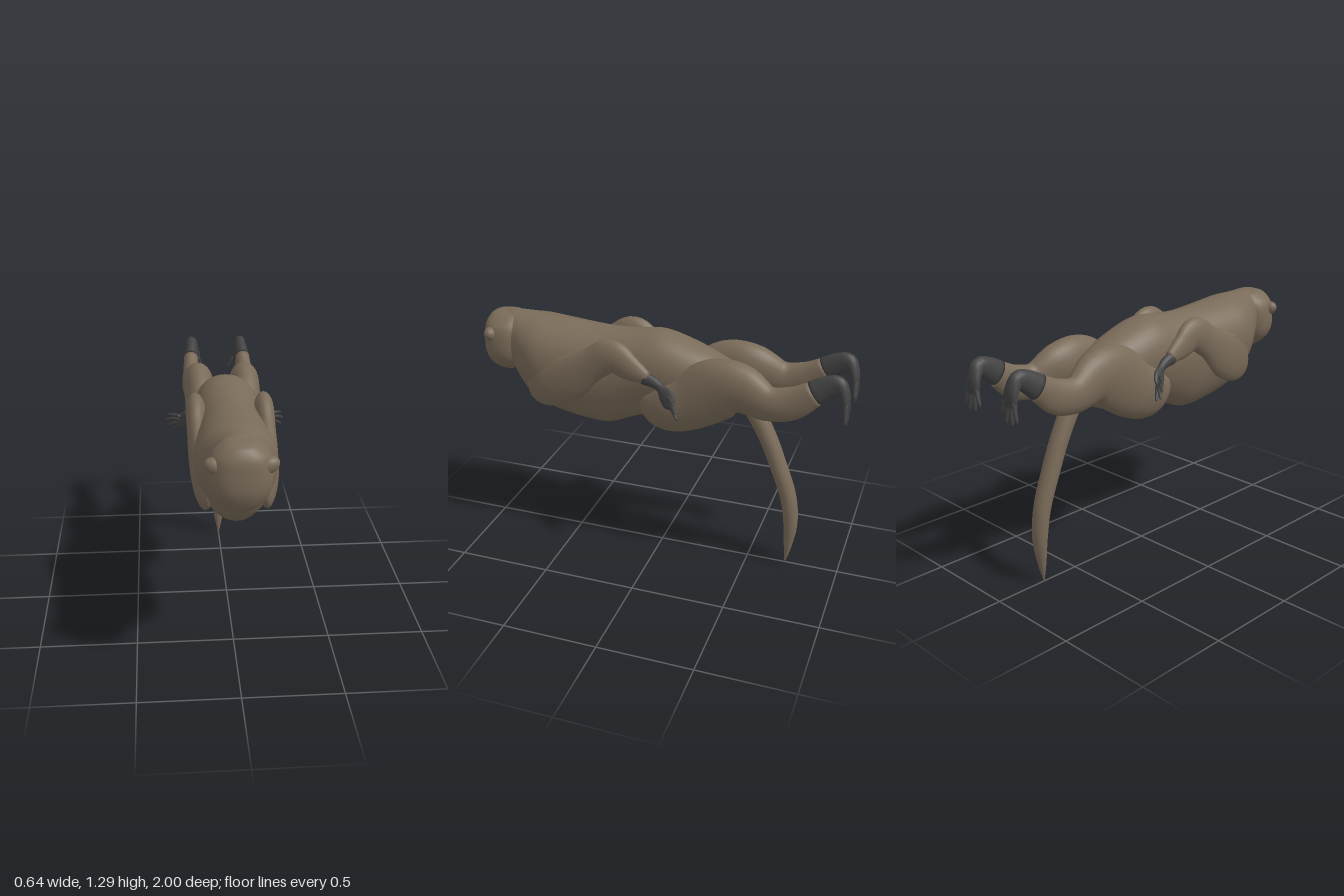
import * as THREE from 'three';

const fur = new THREE.MeshStandardMaterial({ name: 'brown fur', color: 0x7a6b59 });
const skin = new THREE.MeshStandardMaterial({ name: 'dark skin', color: 0x424243 });

// Smooth closed tube through stations [x, y, z, halfWidth, halfDepth]; taper narrows
// one side of each ring, axis keeps all rings parallel, power < 1 squares the rings.
function loft(stations, { rings = 32, sides = 24, taper = 0, axis = null, power = 1 } = {}) {
  const curve = (f) => new THREE.CatmullRomCurve3(stations.map(f), false, 'catmullrom', 0.5);
  const path = curve((s) => new THREE.Vector3(s[0], s[1], s[2]));
  const radii = curve((s) => new THREE.Vector3(s[3], s[4], 0));
  const shape = (v) => Math.sign(v) * Math.abs(v) ** power;
  const pos = [], index = [];
  for (let i = 0; i <= rings; i++) {
    const c = path.getPoint(i / rings), r = radii.getPoint(i / rings);
    const T = axis || path.getTangent(i / rings);
    const S = new THREE.Vector3(1, 0, 0).addScaledVector(T, -T.x).normalize();
    const N = T.clone().cross(S);
    for (let j = 0; j < sides; j++) {
      const a = (j / sides) * Math.PI * 2, sn = shape(Math.sin(a));
      const p = c.clone()
        .addScaledVector(S, Math.max(r.x, 0.002) * shape(Math.cos(a)) * (1 + taper * sn))
        .addScaledVector(N, Math.max(r.y, 0.002) * sn);
      pos.push(p.x, p.y, p.z);
      if (i < rings) {
        const k = (j + 1) % sides, b = i * sides, t = b + sides;
        index.push(b + j, b + k, t + k, b + j, t + k, t + j);
      }
    }
  }
  // end caps
  const first = stations[0], last = stations[stations.length - 1], n = pos.length / 3;
  pos.push(...first.slice(0, 3), ...last.slice(0, 3));
  for (let j = 0; j < sides; j++) {
    const k = (j + 1) % sides, t = rings * sides;
    index.push(n, k, j, n + 1, t + j, t + k);
  }
  const g = new THREE.BufferGeometry();
  g.setAttribute('position', new THREE.Float32BufferAttribute(pos, 3));
  g.setIndex(index);
  g.computeVertexNormals();
  return g;
}

export function createModel() {
  const model = new THREE.Group();
  const add = (name, geometry, material) => {
    const m = new THREE.Mesh(geometry, material);
    m.name = name;
    model.add(m);
    return m;
  };

  // Torso from rump to neck, belly narrower than back, chest bulging under the chin
  add('torso', loft([
    [0, 0.99, -0.48, 0.03, 0.03], [0, 1.035, -0.42, 0.065, 0.09], [0, 1.05, -0.3, 0.12, 0.135],
    [0, 1.05, -0.15, 0.155, 0.195], [0, 1.055, 0, 0.167, 0.23], [0, 1.025, 0.15, 0.168, 0.247],
    [0, 0.993, 0.3, 0.175, 0.273], [0, 1.008, 0.5, 0.192, 0.27], [0, 1.035, 0.65, 0.193, 0.255],
    [0, 1.062, 0.74, 0.162, 0.23], [0, 1.1, 0.8, 0.127, 0.195], [0, 1.15, 0.85, 0.11, 0.142],
    [0, 1.165, 0.94, 0.08, 0.1],
  ], { rings: 64, sides: 40, taper: 0.16, axis: new THREE.Vector3(0, 0, 1) }), fur);

  // Head runs from the back of the skull down to the muzzle
  add('head', loft([
    [0, 1.286, 0.868, 0.05, 0.06], [0, 1.27, 0.872, 0.085, 0.092], [0, 1.225, 0.878, 0.13, 0.112],
    [0, 1.16, 0.88, 0.145, 0.118], [0, 1.08, 0.886, 0.14, 0.112],
    [0, 1.02, 0.89, 0.112, 0.09], [0, 0.975, 0.892, 0.06, 0.06], [0, 0.948, 0.89, 0.012, 0.02],
  ], { rings: 36, sides: 36, axis: new THREE.Vector3(0, -1, 0), power: 0.85 }), fur);

  // Tail
  add('tail', loft([
    [0, 1.02, -0.4, 0.05, 0.05], [0, 0.92, -0.49, 0.05, 0.05], [0, 0.77, -0.575, 0.05, 0.047],
    [0, 0.6, -0.645, 0.05, 0.045], [0, 0.43, -0.705, 0.048, 0.043], [0, 0.27, -0.728, 0.043, 0.038],
    [0, 0.13, -0.723, 0.027, 0.023], [0, 0.01, -0.712, 0.002, 0.002],
  ], { rings: 40, sides: 20 }), fur);

  for (const side of [1, -1]) {
    const label = side > 0 ? 'left' : 'right';
    const limb = (name, stations, material, options) =>
      add(label + name, loft(stations.map(([x, ...rest]) => [x * side, ...rest]), options), material);

    // Ear, a low corner set into the side of the head
    const ear = add(label + 'Ear', new THREE.SphereGeometry(0.042, 20, 14), fur);
    ear.scale.set(1.4, 0.95, 0.9);
    ear.rotation.z = side * 0.4;
    ear.position.set(side * 0.11, 1.183, 0.925);

    // Arm, bent up at the elbow
    limb('Arm', [
      [0.13, 0.97, 0.71, 0.015, 0.05], [0.15, 0.965, 0.63, 0.047, 0.135], [0.163, 1.015, 0.48, 0.052, 0.13],
      [0.172, 1.115, 0.33, 0.046, 0.09], [0.17, 1.178, 0.22, 0.05, 0.09],
      [0.178, 1.132, 0.12, 0.038, 0.07], [0.183, 1.088, 0.02, 0.025, 0.035],
    ], fur, { rings: 40 });

    // Hand with four long fingers and a thumb
    limb('Palm', [
      [0.184, 1.09, 0.038, 0.026, 0.037], [0.186, 1.073, -0.015, 0.023, 0.029], [0.196, 1.052, -0.055, 0.017, 0.024],
      [0.215, 1.025, -0.088, 0.017, 0.042], [0.24, 0.998, -0.118, 0.014, 0.042], [0.256, 0.984, -0.132, 0.006, 0.022],
    ], skin, { rings: 20, sides: 16 });
    const knuckles = [[0.24, 1.028, -0.108], [0.245, 1.01, -0.118], [0.242, 0.99, -0.122],
      [0.23, 0.974, -0.118], [0.21, 1.0, -0.085]];
    const tips = [[0.306, 1.022, -0.16], [0.32, 0.985, -0.175], [0.31, 0.947, -0.178],
      [0.277, 0.926, -0.172], [0.235, 0.95, -0.13]];
    tips.forEach(([x, y, z], i) => {
      const [kx, ky, kz] = knuckles[i];
      const at = (t, r) => [kx + (x - kx) * t, ky + (y - ky) * t + 0.02 * t * (1 - t), kz + (z - kz) * t, r, r];
      limb(i < 4 ? 'Finger' + (i + 1) : 'Thumb',
        [at(0, 0.011), at(0.45, 0.01), at(0.9, 0.007), at(1, 0.003)], skin, { rings: 12, sides: 10 });
    });

    // Hind leg: thigh, knee and shin
    limb('HindLeg', [
      [0.085, 0.9, 0.1, 0.015, 0.03], [0.09, 0.905, 0.045, 0.07, 0.098], [0.1, 0.915, -0.06, 0.095, 0.148],
      [0.113, 0.968, -0.19, 0.088, 0.16], [0.128, 1.055, -0.33, 0.08, 0.165], [0.13, 1.08, -0.45, 0.083, 0.135],
      [0.157, 1.035, -0.6, 0.057, 0.094], [0.157, 1.055, -0.72, 0.047, 0.087], [0.153, 1.125, -0.83, 0.041, 0.063],
    ], fur, { rings: 48, sides: 28, taper: -0.1 });

    // Foot folding down behind the heel, with toes
    limb('Foot', [
      [0.153, 1.125, -0.825, 0.043, 0.065], [0.148, 1.165, -0.885, 0.036, 0.055], [0.145, 1.185, -0.935, 0.034, 0.042],
      [0.142, 1.14, -0.968, 0.042, 0.027], [0.14, 1.09, -0.98, 0.048, 0.018], [0.14, 1.06, -0.984, 0.04, 0.008],
    ], skin, { rings: 24, sides: 18 });
    [0.08, 0.117, 0.16, 0.195].forEach((x, i) => {
      const b = 0.107 + i * 0.022, y = [1.01, 0.98, 0.98, 1.0][i];
      limb('Toe' + (i + 1), [
        [b, 1.09, -0.98, 0.012, 0.014], [(b + x) / 2, (1.09 + y) / 2, -0.986, 0.011, 0.011],
        [x, y + 0.01, -0.989, 0.009, 0.008], [x, y, -0.989, 0.004, 0.004],
      ], skin, { rings: 12, sides: 10 });
    });
  }
  return model;
}
